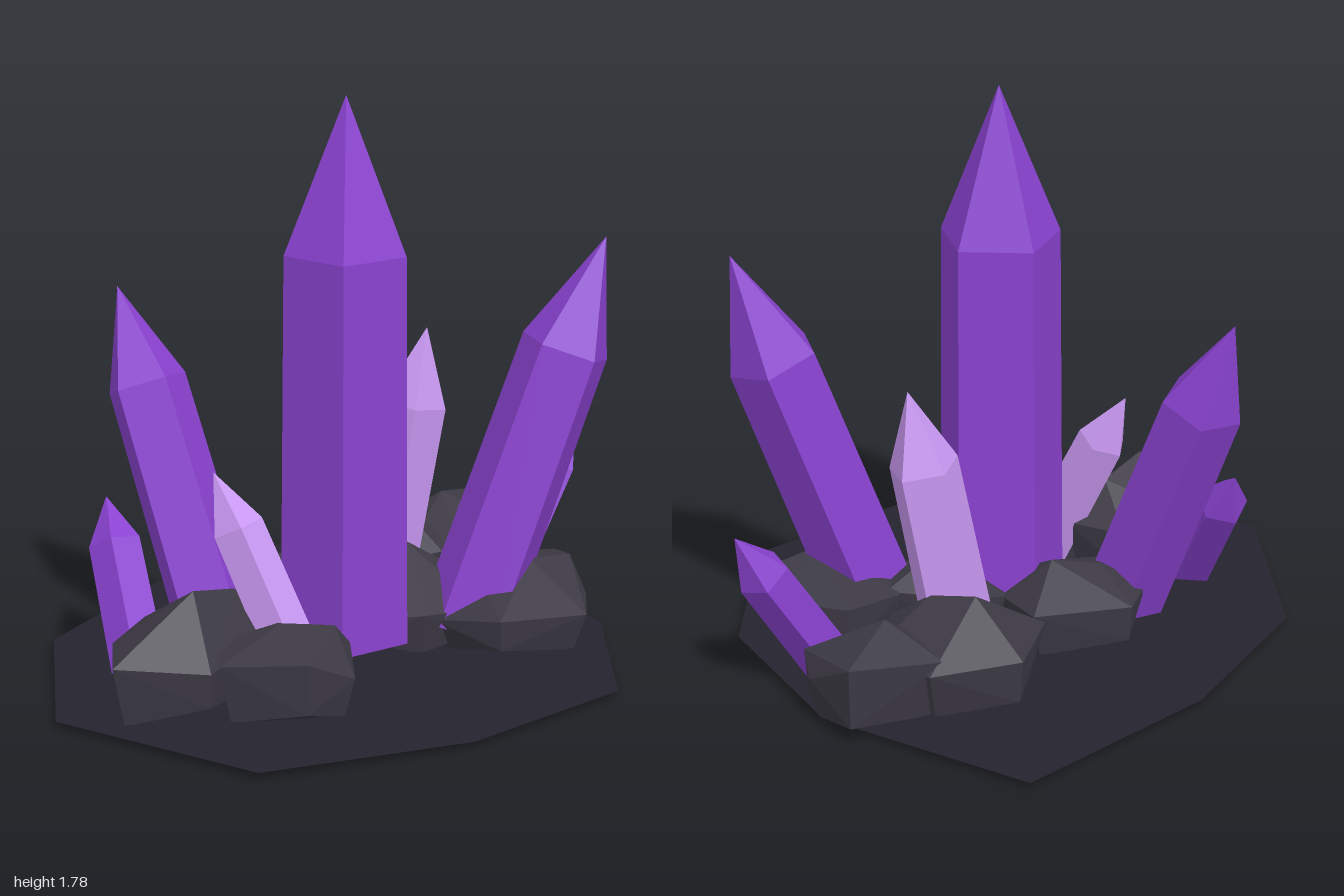
import * as THREE from 'three';
import { ConvexGeometry } from 'three/addons/geometries/ConvexGeometry.js';

const material = (color, side = THREE.FrontSide) =>
  new THREE.MeshStandardMaterial({ color, side, flatShading: true });

export function createModel() {
  const group = new THREE.Group();
  const purple = material(0x8a42d0);
  const lilac = material(0xc898f2);
  const stone = material(0x3c3944);
  const ground = material(0x25232d, THREE.DoubleSide);

  const add = (name, geometry, mat) => {
    const mesh = new THREE.Mesh(geometry, mat);
    mesh.name = name;
    group.add(mesh);
    return mesh;
  };

  // Five-sided pointed crystal standing on base and reaching to tip; spin in degrees
  const up = new THREE.Vector3(0, 1, 0);
  function crystal(name, base, tip, radius, spin, mat) {
    const from = new THREE.Vector3(...base);
    const axis = new THREE.Vector3(...tip).sub(from);
    const length = axis.length();
    const profile = [[0, 0], [radius, 0], [radius * 0.94, length * 0.72], [0, length]]
      .map(([r, y]) => new THREE.Vector2(r, y));
    const start = Math.PI / 2 - THREE.MathUtils.degToRad(spin);
    const mesh = add(name, new THREE.LatheGeometry(profile, 5, start), mat);
    mesh.position.copy(from);
    mesh.quaternion.setFromUnitVectors(up, axis.normalize());
  }

  // Faceted rock: a rim of [x, y, z] corners, a smaller foot below it and peaks above
  function rock(name, rim, peaks) {
    const points = [...rim, ...peaks].map((p) => new THREE.Vector3(...p));
    const cx = rim.reduce((s, p) => s + p[0], 0) / rim.length;
    const cz = rim.reduce((s, p) => s + p[2], 0) / rim.length;
    rim.forEach(([x, , z], i) => {
      const k = i % 2 ? 0.95 : 0.84;
      points.push(new THREE.Vector3(cx + (x - cx) * k, i % 2 ? 0.06 : 0.015, cz + (z - cz) * k));
    });
    add(name, new ConvexGeometry(points), stone);
  }

  // Flat irregular ground plate
  const outline = [[0.22, -1], [-0.41, -0.655], [-0.84, -0.21], [-0.96, 0.465], [-0.48, 0.995],
    [0.18, 0.945], [0.725, 0.685], [0.89, 0.105], [0.73, -0.475]];
  const plate = new THREE.Shape(outline.map(([x, z]) => new THREE.Vector2(x, -z)));
  add('groundPlate', new THREE.ShapeGeometry(plate).rotateX(-Math.PI / 2), ground).position.y = 0.02;

  // Crystals
  crystal('centralCrystal', [0.03, 0.06, 0.105], [0.03, 1.78, 0.11], 0.208, 36, purple);
  crystal('rightTallCrystal', [0.42, 0.06, 0.13], [0.865, 1.3, 0.13], 0.155, 0, purple);
  crystal('leftTallCrystal', [-0.35, 0.07, 0], [-0.58, 1.12, -0.37], 0.14, 71, purple);
  crystal('rightSmallCrystal', [0.64, 0.05, -0.2], [0.955, 0.585, -0.34], 0.09, 59, purple);
  crystal('leftSmallCrystal', [-0.645, 0.05, 0.19], [-0.675, 0.505, -0.14], 0.09, 36, purple);
  crystal('frontPaleCrystal', [-0.2, 0.08, 0.39], [-0.413, 0.665, 0.205], 0.088, 20, lilac);
  crystal('backPaleCrystal', [0.24, 0.07, -0.25], [0.4, 0.953, -0.23], 0.118, 31, lilac);

  // Rocks around the crystal feet
  rock('leftRock', [[-0.81, 0.21, 0.58], [-0.76, 0.2, 0.34], [-0.63, 0.22, 0.195],
    [-0.4, 0.2, 0.155], [-0.24, 0.2, 0.3], [-0.52, 0.17, 0.6]],
  [[-0.53, 0.37, 0.42], [-0.38, 0.33, 0.32]]);
  rock('frontRock', [[-0.5, 0.2, 0.62], [-0.26, 0.22, 0.73], [-0.1, 0.14, 0.67],
    [-0.03, 0.14, 0.37], [-0.25, 0.2, 0.3], [-0.45, 0.2, 0.42]],
  [[-0.29, 0.28, 0.52], [-0.1, 0.23, 0.45]]);
  rock('rightRock', [[0.29, 0.12, 0.2], [0.45, 0.16, 0.385], [0.75, 0.14, 0.34],
    [0.82, 0.14, 0.15], [0.79, 0.22, -0.07], [0.58, 0.2, -0.15], [0.4, 0.2, -0.08]],
  [[0.62, 0.28, 0.16], [0.78, 0.26, 0.1], [0.45, 0.23, 0.18]]);
  rock('backRightRock', [[0.37, 0.2, -0.55], [0.68, 0.26, -0.645], [0.765, 0.15, -0.46],
    [0.76, 0.2, -0.36], [0.52, 0.18, -0.22], [0.35, 0.15, -0.32]],
  [[0.53, 0.32, -0.46]]);
  rock('backRock', [[0, 0.18, -0.34], [0.14, 0.2, -0.61], [0.42, 0.17, -0.58],
    [0.55, 0.18, -0.38], [0.45, 0.2, -0.2], [0.13, 0.17, -0.14]],
  [[0.24, 0.34, -0.42], [0.36, 0.31, -0.32]]);
  rock('backLeftRock', [[-0.4, 0.15, -0.1], [-0.29, 0.18, -0.31], [0.02, 0.17, -0.28],
    [0.07, 0.15, -0.08], [0, 0.14, 0.12], [-0.3, 0.15, 0.12]],
  [[-0.08, 0.28, -0.12], [-0.24, 0.25, -0.12]]);
  rock('middleRock', [[0.05, 0.15, -0.08], [0.2, 0.2, -0.17], [0.44, 0.2, -0.05],
    [0.45, 0.14, 0.2], [0.25, 0.15, 0.24], [0.06, 0.13, 0.18]],
  [[0.27, 0.31, -0.02]]);

  return group;
}
